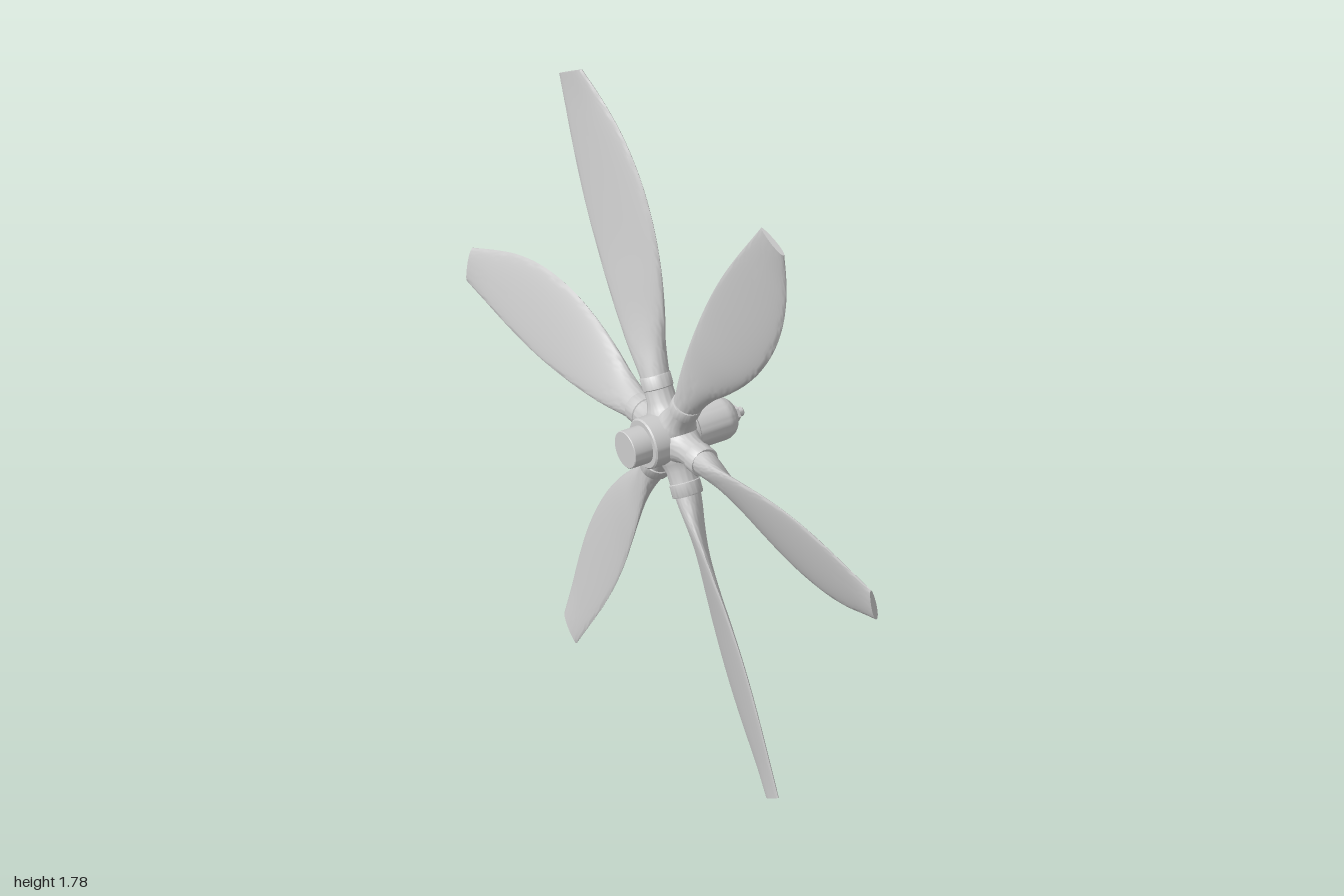
import * as THREE from 'three';
import { toCreasedNormals } from 'three/addons/utils/BufferGeometryUtils.js';

const AXIS_Y = 0.891, BLADE_X = -0.04, BLADES = 6;

const material = new THREE.MeshStandardMaterial({ color: 0xcccccc });

// Turned part from [radius, height] points, with sharp corners kept
function turned(name, points, segments = 48) {
  const profile = points.map(([r, h]) => new THREE.Vector2(r, h));
  const mesh = new THREE.Mesh(toCreasedNormals(new THREE.LatheGeometry(profile, segments), 0.6), material);
  mesh.name = name;
  return mesh;
}

// Blade sections: radius, trailing edge y and x, leading edge y and x, half thickness
const SECTIONS = [
  [0.14, 0.026, -0.066, -0.026, -0.014, 0.037],
  [0.19, 0.031, -0.069, -0.035, -0.012, 0.032],
  [0.25, 0.042, -0.071, -0.053, -0.010, 0.024],
  [0.32, 0.055, -0.070, -0.082, -0.005, 0.018],
  [0.42, 0.069, -0.067, -0.114, 0.000, 0.015],
  [0.52, 0.079, -0.063, -0.134, 0.003, 0.013],
  [0.62, 0.083, -0.060, -0.141, 0.004, 0.012],
  [0.72, 0.080, -0.057, -0.135, 0.002, 0.011],
  [0.82, 0.071, -0.054, -0.114, -0.004, 0.010],
  [0.91, 0.060, -0.051, -0.083, -0.014, 0.009],
  [1.00, 0.049, -0.048, -0.048, -0.030, 0.008],
];

// Twisted blade along +z, lofted through smoothly interpolated sections
function bladeGeometry() {
  const rings = 48, sides = 40;
  const edge = (y, x) => new THREE.CatmullRomCurve3(SECTIONS.map(s => new THREE.Vector3(s[x], s[y], s[0])));
  const trail = edge(1, 2), lead = edge(3, 4);
  const thick = new THREE.CatmullRomCurve3(SECTIONS.map(s => new THREE.Vector3(s[5], 0, s[0])));
  const position = [], index = [];
  for (let i = 0; i <= rings; i++) {
    const u = i / rings;
    const a = trail.getPoint(u), b = lead.getPoint(u), h = thick.getPoint(u).x;
    const mid = a.clone().add(b).multiplyScalar(0.5);
    const c = b.clone().sub(a).multiplyScalar(0.5);
    const n = new THREE.Vector3(-c.y, c.x, 0).normalize().multiplyScalar(h);
    for (let j = 0; j < sides; j++) {
      const t = j / sides * Math.PI * 2, ct = Math.cos(t);
      // fuller towards the leading edge away from the round root
      const st = Math.sin(t) * (1 + 0.2 * ct * Math.min(1, u * 4));
      position.push(mid.x + c.x * ct + n.x * st, mid.y + c.y * ct + n.y * st, mid.z);
      if (i < rings) {
        const p = i * sides + j, q = i * sides + (j + 1) % sides;
        index.push(p, q, p + sides, q, q + sides, p + sides);
      }
    }
  }
  // Flat tip
  const last = rings * sides, centre = position.length / 3;
  const end = SECTIONS[SECTIONS.length - 1];
  position.push((end[2] + end[4]) / 2, (end[1] + end[3]) / 2, end[0]);
  for (let j = 0; j < sides; j++) index.push(centre, last + j, last + (j + 1) % sides);
  const geometry = new THREE.BufferGeometry();
  geometry.setAttribute('position', new THREE.Float32BufferAttribute(position, 3));
  geometry.setIndex(index);
  return toCreasedNormals(geometry, 0.8);
}

export function createModel() {
  const model = new THREE.Group();
  model.name = 'propeller';

  // Hub parts, turned about the x axis
  const hub = new THREE.Group();
  hub.name = 'hub';
  hub.rotation.z = -Math.PI / 2;
  hub.position.y = AXIS_Y;
  hub.add(turned('rearShaft', [[0, -0.185], [0.05, -0.185], [0.052, -0.183], [0.052, -0.12]]));
  hub.add(turned('hubBody', [[0, -0.13], [0.066, -0.13], [0.07, -0.126], [0.07, 0.011], [0.066, 0.015], [0, 0.015]]));
  const dome = [[0.059, 0.01]];
  for (let i = 0; i <= 10; i++) {
    const t = i / 10 * Math.PI / 2;
    dome.push([0.014 + 0.045 * Math.cos(t), 0.108 + 0.045 * Math.sin(t)]);
  }
  dome.push([0, 0.153]);
  hub.add(turned('pitchDome', dome));
  hub.add(turned('domeNut', [[0.023, 0.148], [0.023, 0.163], [0, 0.163]], 6));
  hub.add(turned('domeStud', [[0.013, 0.16], [0.013, 0.178], [0.01, 0.181], [0, 0.181]], 24));
  model.add(hub);

  // Blades with their sockets
  const blade = bladeGeometry();
  const socket = turned('bladeSocket', [[0.054, 0.03], [0.054, 0.06], [0.046, 0.075], [0.04, 0.095],
    [0.039, 0.128], [0.042, 0.13], [0.042, 0.163], [0.04, 0.166], [0, 0.166]]);
  socket.rotation.x = Math.PI / 2;
  socket.position.x = BLADE_X;
  for (let i = 0; i < BLADES; i++) {
    const arm = new THREE.Group();
    arm.name = 'bladeArm' + (i + 1);
    const mesh = new THREE.Mesh(blade, material);
    mesh.name = 'blade';
    arm.add(mesh, socket.clone());
    arm.rotation.x = i * Math.PI * 2 / BLADES;
    arm.position.y = AXIS_Y;
    model.add(arm);
  }
  return model;
}
